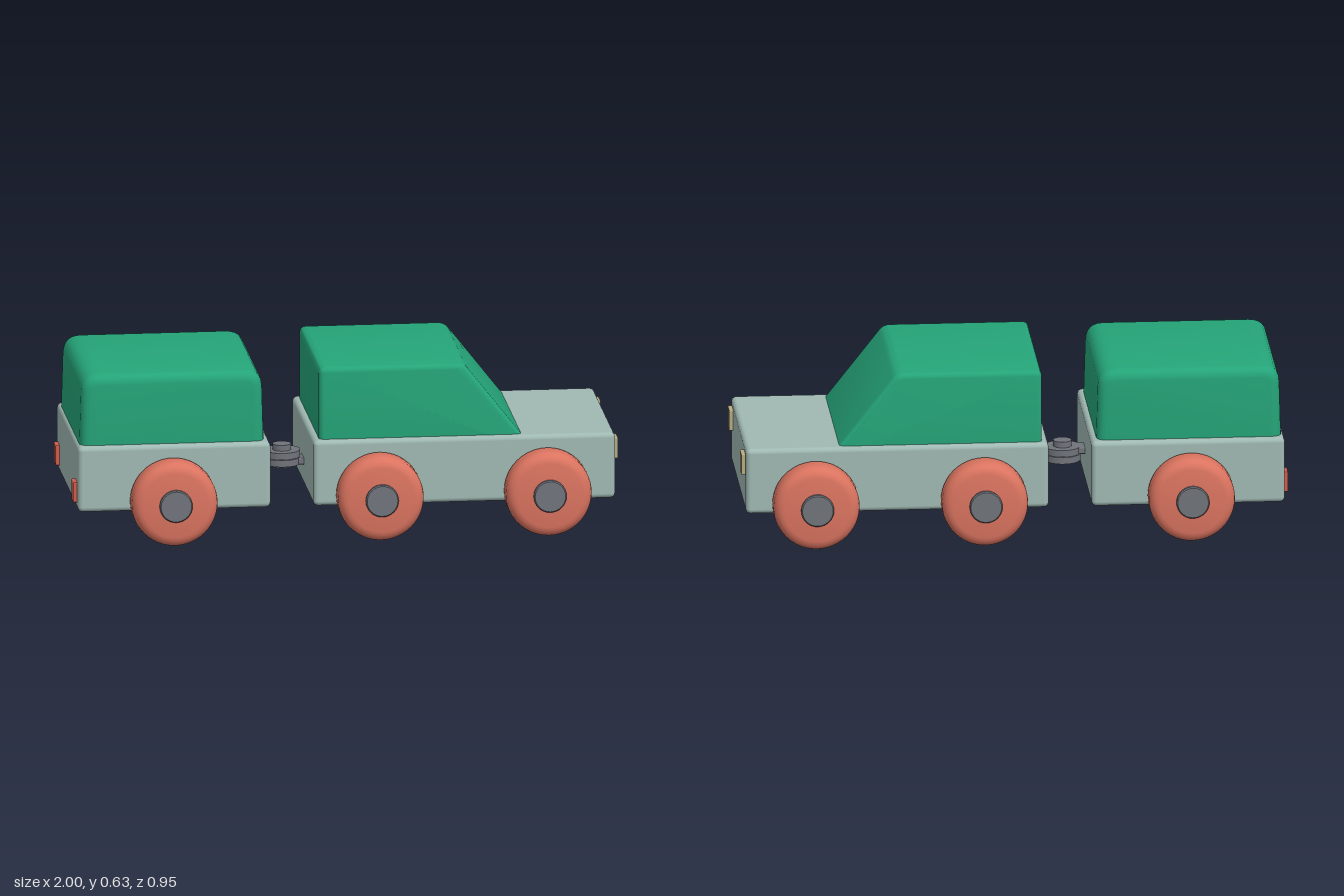
import * as THREE from 'three';
import { toCreasedNormals } from 'three/addons/utils/BufferGeometryUtils.js';
import { RoundedBoxGeometry } from 'three/addons/geometries/RoundedBoxGeometry.js';

const material = (name, color) => {
  const m = new THREE.MeshStandardMaterial({ color });
  m.name = name;
  return m;
};

// Side outline with softened corners, extruded across the vehicle with rounded edges
function softSlab(points, corner, halfWidth, bevel) {
  const shape = new THREE.Shape();
  const pts = points.map(([x, y]) => new THREE.Vector2(x, y));
  const toward = (a, b) => a.clone().add(b.clone().sub(a).setLength(corner));
  pts.forEach((p, i) => {
    const start = toward(p, pts[(i + pts.length - 1) % pts.length]);
    const end = toward(p, pts[(i + 1) % pts.length]);
    if (i === 0) shape.moveTo(start.x, start.y);
    else shape.lineTo(start.x, start.y);
    shape.quadraticCurveTo(p.x, p.y, end.x, end.y);
  });
  shape.closePath();
  const depth = 2 * (halfWidth - bevel);
  const geometry = new THREE.ExtrudeGeometry(shape, {
    depth, curveSegments: 6, bevelEnabled: true, bevelThickness: bevel,
    bevelSize: bevel, bevelOffset: -bevel, bevelSegments: 4,
  });
  geometry.translate(0, 0, -depth / 2);
  return toCreasedNormals(geometry, 0.6);
}

function lathe(profile, segments = 48) {
  const points = profile.map(([r, y]) => new THREE.Vector2(r, y));
  return toCreasedNormals(new THREE.LatheGeometry(points, segments), 0.6);
}

export function createModel() {
  const group = new THREE.Group();
  group.name = 'carWithTrailer';
  const grey = material('bodyGrey', 0xa0b9b3);
  const green = material('roofGreen', 0x25a579);
  const coral = material('wheelCoral', 0xdb7460);
  const steel = material('hubSteel', 0x70747b);
  const cream = material('headlightCream', 0xb9ac82);
  const red = material('tailLightRed', 0xd25c4c);

  const add = (name, geometry, mat, x = 0, y = 0, z = 0, parent = group) => {
    const mesh = new THREE.Mesh(geometry, mat);
    mesh.name = name;
    mesh.position.set(x, y, z);
    parent.add(mesh);
    return mesh;
  };
  const box = (name, mat, x0, x1, y0, y1, z0, z1, r) => add(name,
    new RoundedBoxGeometry(x1 - x0, y1 - y0, z1 - z0, 4, r), mat,
    (x0 + x1) / 2, (y0 + y1) / 2, (z0 + z1) / 2);

  // Bodies
  box('carBody', grey, -0.123, 0.982, 0.115, 0.36, -0.35, 0.35, 0.018);
  box('trailerBody', grey, -0.985, -0.28, 0.115, 0.36, -0.35, 0.35, 0.018);

  // Cab with sloping windscreen, and trailer canopy; both sink into the bodies
  add('cab', softSlab([[-0.1, 0.3], [0.687, 0.3], [0.43, 0.628], [-0.1, 0.628]],
    0.025, 0.328, 0.02), green);
  add('canopy', softSlab([[-0.977, 0.28], [-0.298, 0.28], [-0.308, 0.622], [-0.967, 0.622]],
    0.065, 0.326, 0.035), green);

  // Wheels and hubs, built pointing up and turned outward
  const tyre = lathe([[0, 0], [0.146, 0], [0.153, 0.004], [0.157, 0.012], [0.157, 0.07],
    [0.154, 0.085], [0.146, 0.098], [0.134, 0.107], [0.12, 0.11], [0, 0.11]]);
  const hub = lathe([[0, 0.1], [0.06, 0.1], [0.06, 0.121], [0.056, 0.125], [0, 0.125]], 32);
  for (const x of [-0.64, 0.115, 0.73]) {
    for (const side of [1, -1]) {
      const wheel = new THREE.Group();
      wheel.name = 'wheel';
      wheel.position.set(x, 0.158, side * 0.35);
      wheel.rotation.x = side * Math.PI / 2;
      add('tyre', tyre, coral, 0, 0, 0, wheel);
      add('hub', hub, steel, 0, 0, 0, wheel);
      group.add(wheel);
    }
  }

  // Lights
  for (const side of [1, -1]) {
    const z = side * 0.282;
    box('headlight', cream, 0.975, 0.997, 0.255, 0.333, z - 0.032, z + 0.032, 0.004);
    box('tailLight', red, -1, -0.975, 0.145, 0.22, z - 0.032, z + 0.032, 0.004);
  }

  // Hitch: two overlapping eyes on short arms joined by a pin
  const disc = (r, h) => new THREE.CylinderGeometry(r, r, h, 32);
  add('trailerEye', disc(0.067, 0.025), steel, -0.2, 0.234);
  add('carEye', disc(0.067, 0.025), steel, -0.2, 0.207);
  add('hitchPin', disc(0.034, 0.085), steel, -0.2, 0.226);
  box('trailerArm', steel, -0.3, -0.22, 0.222, 0.246, -0.035, 0.035, 0.004);
  box('carArm', steel, -0.18, -0.1, 0.195, 0.219, -0.035, 0.035, 0.004);

  return group;
}
